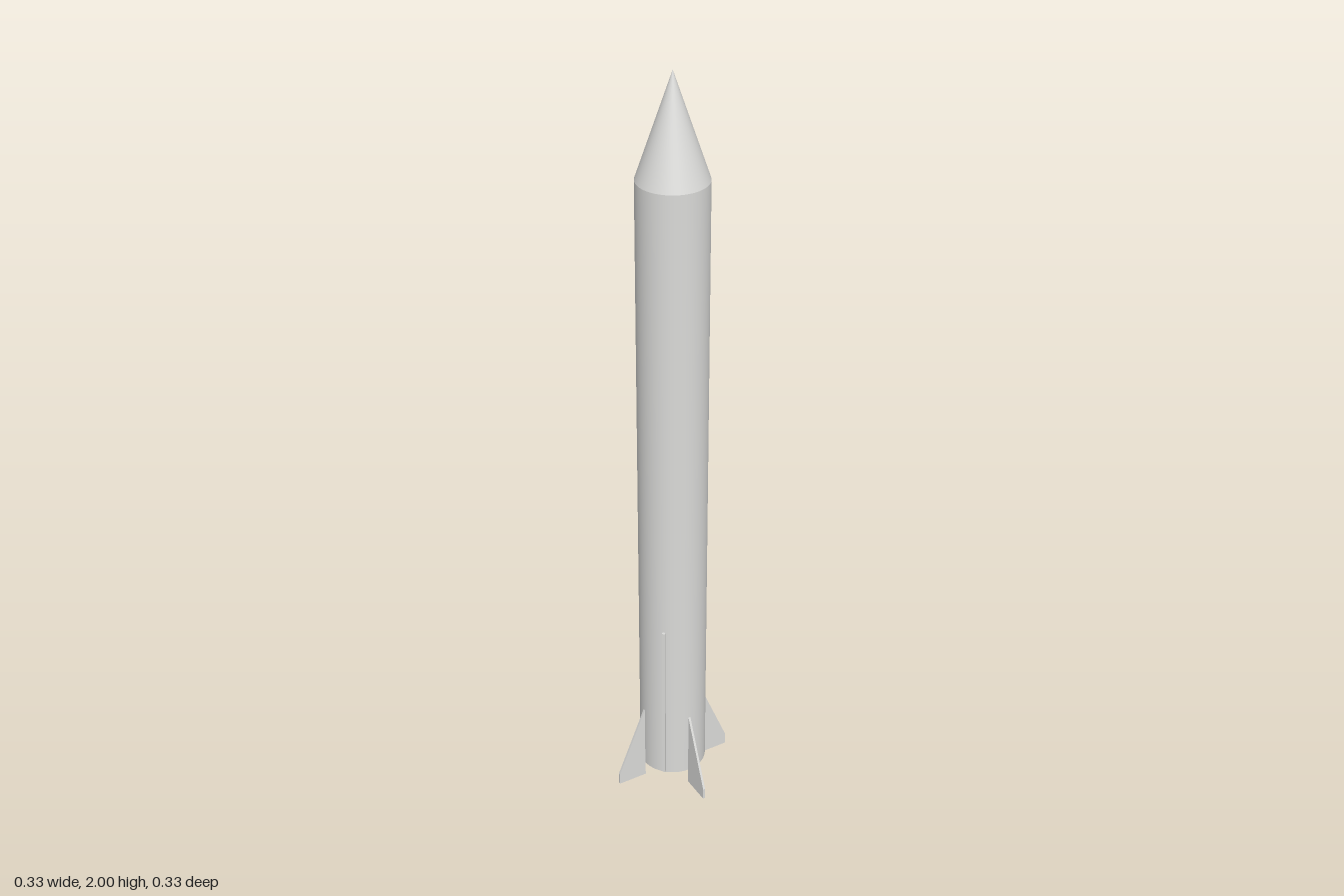
import * as THREE from 'three';

const SIDES = 64;
const RADIUS = 0.088;
const BASE_Y = 0.045;
const SHOULDER_Y = 1.74;

export function createModel() {
  const model = new THREE.Group();
  model.name = 'rocket';

  const paint = new THREE.MeshStandardMaterial({ color: 0xdadad8 });
  paint.name = 'light grey paint';
  const black = new THREE.MeshStandardMaterial({ color: 0x1c1c1c });
  black.name = 'black base';
  const metal = new THREE.MeshStandardMaterial({ color: 0x444444, side: THREE.DoubleSide });
  metal.name = 'dark nozzle metal';

  const add = (name, geometry, material, parent = model) => {
    const mesh = new THREE.Mesh(geometry, material);
    mesh.name = name;
    parent.add(mesh);
    return mesh;
  };

  // Body tube and pointed nose
  const bodyHeight = SHOULDER_Y - BASE_Y;
  add('body', new THREE.CylinderGeometry(RADIUS, RADIUS, bodyHeight, SIDES, 1, true), paint)
    .position.y = BASE_Y + bodyHeight / 2;
  add('noseCone', new THREE.ConeGeometry(RADIUS, 2 - SHOULDER_Y, SIDES, 1, true), paint)
    .position.y = (2 + SHOULDER_Y) / 2;

  // Black plate closing the tail
  add('basePlate', new THREE.CircleGeometry(RADIUS, SIDES).rotateX(Math.PI / 2), black)
    .position.y = BASE_Y;

  // Engine: flared throat and open bell
  const nozzleProfile = [
    [0.018, 0.045], [0.018, 0.036], [0.011, 0.029],
    [0.018, 0.018], [0.024, 0.007], [0.026, 0],
  ].map(([r, y]) => new THREE.Vector2(r, y)).reverse();
  add('nozzle', new THREE.LatheGeometry(nozzleProfile, 32), metal);

  // Four swept fins
  const finShape = new THREE.Shape([
    [0.087, 0.003], [0.167, 0.003], [0.167, 0.035], [0.087, 0.23],
  ].map(([x, y]) => new THREE.Vector2(x, y)));
  const finDepth = 0.006;
  const finGeometry = new THREE.ExtrudeGeometry(finShape, { depth: finDepth, bevelEnabled: false })
    .translate(0, 0, -finDepth / 2);
  for (let i = 0; i < 4; i++) {
    add('fin', finGeometry, paint).rotation.y = i * Math.PI / 2;
  }

  // Two cable ducts on opposite sides, between the fins
  const ductGeometry = new THREE.BoxGeometry(0.012, 0.467, 0.008).translate(0.089, 0.2835, 0);
  for (const angle of [Math.PI / 4, Math.PI * 5 / 4]) {
    add('cableDuct', ductGeometry, paint).rotation.y = angle;
  }

  return model;
}
